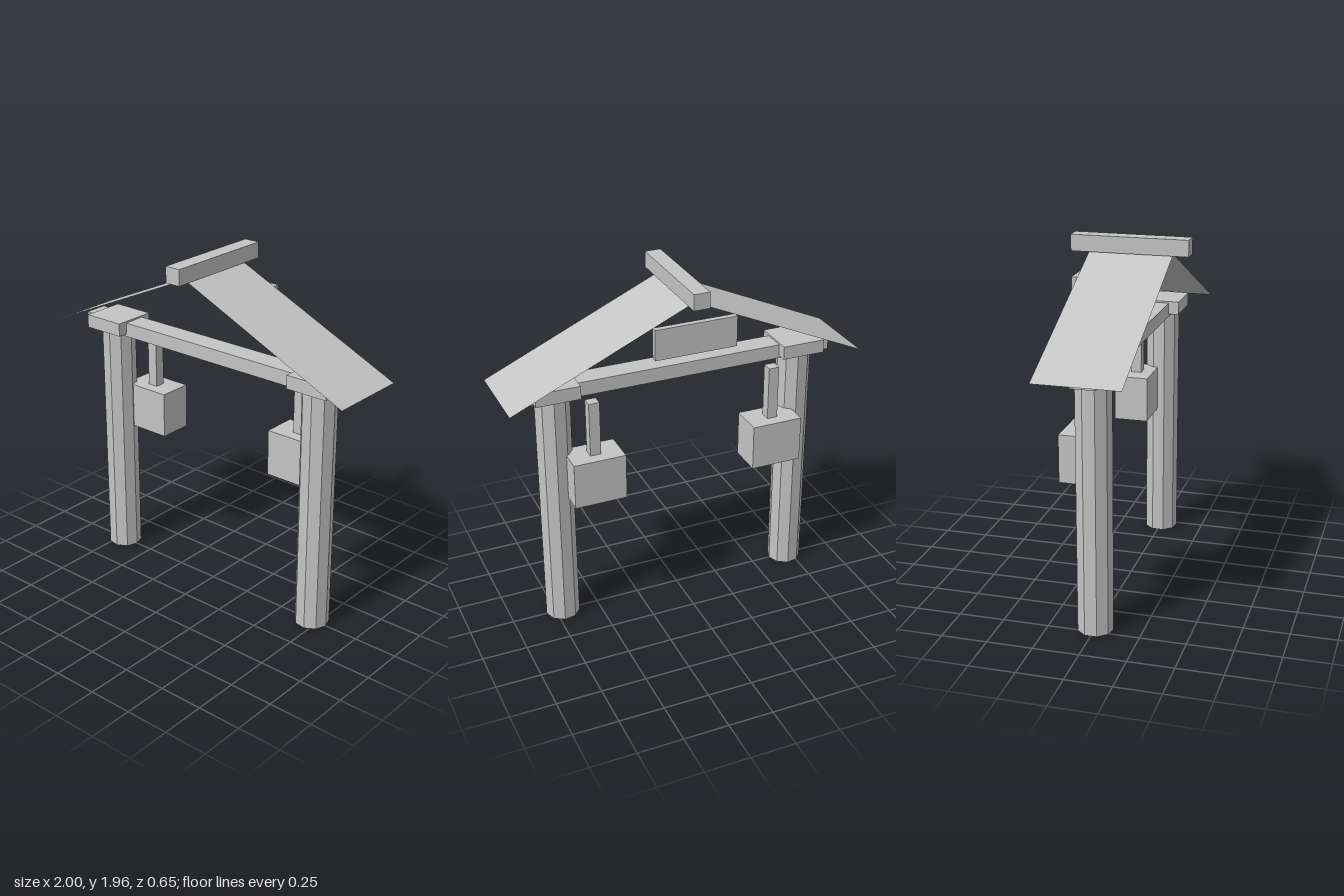
import * as THREE from 'three';

export function createModel() {
  const model = new THREE.Group();
  model.name = 'gate';

  const grey = new THREE.MeshStandardMaterial({ color: 0xc4c4c4, flatShading: true, side: THREE.DoubleSide });
  grey.name = 'plain grey';

  const add = (name, geometry, x, y, z) => {
    const mesh = new THREE.Mesh(geometry, grey);
    mesh.name = name;
    mesh.position.set(x, y, z);
    model.add(mesh);
    return mesh;
  };
  // Box given by its lower and upper corners
  const box = (name, [x0, y0, z0], [x1, y1, z1]) =>
    add(name, new THREE.BoxGeometry(x1 - x0, y1 - y0, z1 - z0), (x0 + x1) / 2, (y0 + y1) / 2, (z0 + z1) / 2);

  // Beam across the posts, ridge on top, sign board at the back
  box('crossBeam', [-0.89, 1.375, -0.065], [0.89, 1.455, 0.065]);
  box('ridgeBeam', [-0.045, 1.868, -0.323], [0.045, 1.957, 0.323]);
  box('signBoard', [-0.23, 1.6, -0.262], [0.23, 1.77, -0.229]);

  // Nine-sided hollow post, with a corner towards +x on both sides
  const postGeometry = new THREE.CylinderGeometry(0.096, 0.096, 1.39, 9, 1, true).rotateY(Math.PI / 2);

  // Thin roof slope from eave to ridge
  const rise = 0.45;
  const roofGeometry = new THREE.PlaneGeometry(Math.hypot(1, rise), 0.46).rotateX(-Math.PI / 2);

  for (const [label, s] of [['left', 1], ['right', -1]]) {
    const px = s * 0.708;
    add(label + 'Post', postGeometry, px, 0.695, 0);
    box(label + 'PostCap', [px - 0.123, 1.39, -0.123], [px + 0.123, 1.465, 0.123]);

    const roof = add(label + 'RoofSlope', roofGeometry, s * 0.5, 1.42 + rise / 2, 0);
    roof.rotation.z = -s * Math.atan(rise);

    // Hanging lantern behind the beam
    const lx = s * 0.522;
    box(label + 'LanternHanger', [lx - 0.03, 1.05, -0.135], [lx + 0.03, 1.357, -0.075]);
    box(label + 'Lantern', [lx - 0.146, 0.79, -0.202], [lx + 0.146, 1.05, -0.008]);
  }
  return model;
}
